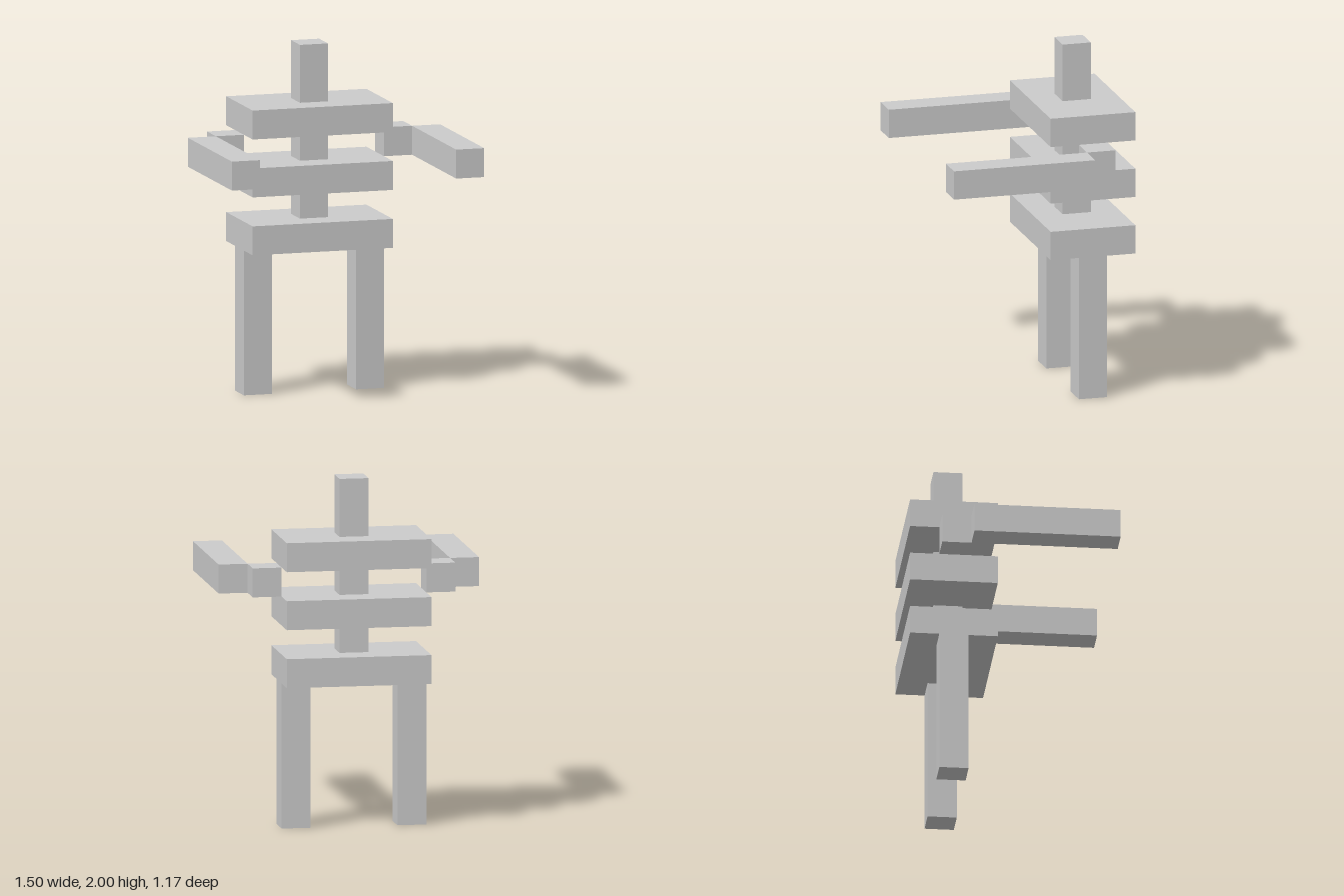
import * as THREE from 'three';

// Everything sits on a grid of equal blocks, 12 blocks tall
const U = 1 / 6;
const BODY_Z = -2 * U;

export function createModel() {
  const model = new THREE.Group();
  model.name = 'blockFigure';
  const material = new THREE.MeshStandardMaterial({ color: 0xcccccc, flatShading: true });

  // Box with its size, centre x, base height and centre z in blocks
  function block(name, w, h, d, x, base, z = 0) {
    const mesh = new THREE.Mesh(new THREE.BoxGeometry(w * U, h * U, d * U), material);
    mesh.name = name;
    mesh.position.set(x * U, (base + h / 2) * U, BODY_Z + z * U);
    model.add(mesh);
  }

  // Torso slabs
  block('hipSlab', 5, 1, 3, 0, 5);
  block('waistSlab', 5, 1, 3, 0, 7);
  block('chestSlab', 5, 1, 3, 0, 9);

  // Spine pieces between the slabs, and the head on top
  block('lowerSpine', 1, 1, 1, 0, 6);
  block('upperSpine', 1, 1, 1, 0, 8);
  block('head', 1, 2, 1, 0, 10);

  // Legs, shoulders and forward-reaching arms, mirrored
  for (const [side, s] of [['left', 1], ['right', -1]]) {
    block(side + 'Leg', 1, 5, 1, 2 * s, 0);
    block(side + 'Shoulder', 1, 1, 1, 3 * s, 8);
    block(side + 'Arm', 1, 1, 5, 4 * s, 8, 3);
  }

  return model;
}
